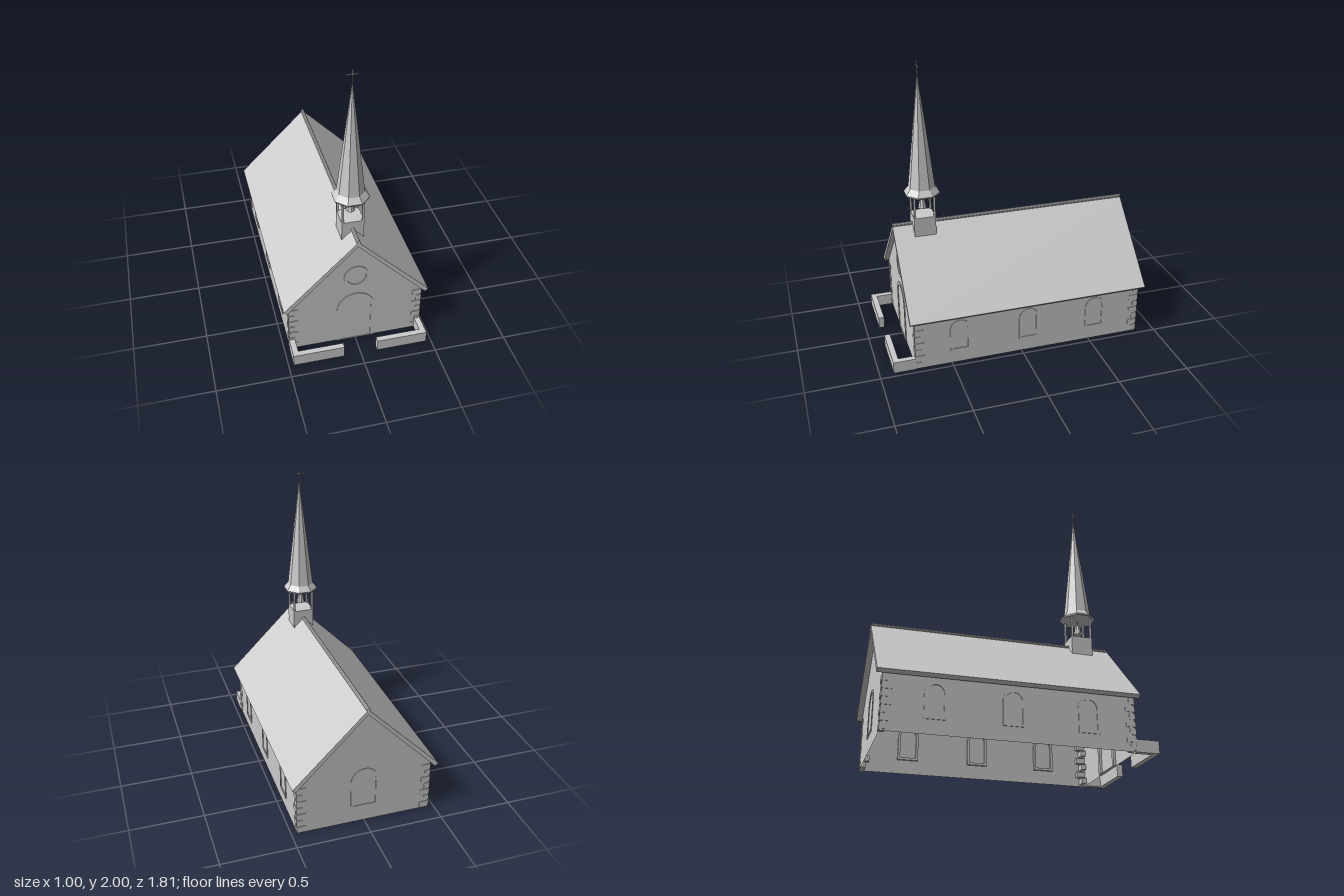
import * as THREE from 'three';

export function createModel() {
  const root = new THREE.Group();
  root.name = 'chapel';
  const stone = new THREE.MeshStandardMaterial({ color: 0xcccccc, side: THREE.DoubleSide, flatShading: true });
  stone.name = 'pale grey stone';

  const add = (name, geo, x = 0, y = 0, z = 0, parent = root) => {
    const m = new THREE.Mesh(geo, stone);
    m.name = name;
    m.position.set(x, y, z);
    parent.add(m);
    return m;
  };
  const box = (name, w, h, d, x, y, z, parent) => add(name, new THREE.BoxGeometry(w, h, d), x, y, z, parent);
  const poly = (pts) => new THREE.Shape(pts.map((p) => new THREE.Vector2(...p)));
  const extrude = (shape, depth) => new THREE.ExtrudeGeometry(shape, { depth, bevelEnabled: false, curveSegments: 12 });

  const W = 0.46, FRONT = 0.75, BACK = -0.865, EAVE = 0.375, PEAK = 0.838;

  // Thin shell walls, open underneath
  const gable = new THREE.ShapeGeometry(poly([[-W, 0], [W, 0], [W, EAVE], [0, PEAK], [-W, EAVE]]));
  add('frontWall', gable, 0, 0, FRONT);
  add('backWall', gable, 0, 0, BACK).rotation.y = Math.PI;
  const midZ = (FRONT + BACK) / 2;
  for (const s of [-1, 1]) {
    const wall = add('sideWall', new THREE.PlaneGeometry(FRONT - BACK, EAVE), s * W, EAVE / 2, midZ);
    wall.rotation.y = s * Math.PI / 2;
  }

  // Roof slabs and ridge cap
  const slab = poly([[0, 0.872], [0.5, 0.372], [0.478, 0.352], [0, 0.838]]);
  for (const s of [-1, 1]) {
    const roof = add('roofSlope', extrude(slab, 1.69), 0, 0, s > 0 ? -0.905 : 0.785);
    if (s < 0) roof.rotation.y = Math.PI;
  }
  add('ridgeCap', new THREE.CylinderGeometry(0.013, 0.013, 1.69, 10), 0, 0.87, -0.06).rotation.x = Math.PI / 2;

  // Arched surrounds set through the walls
  const archPath = (p, r, y0, spring) => {
    p.moveTo(-r, y0);
    p.lineTo(r, y0);
    p.lineTo(r, spring);
    p.absarc(0, spring, r, 0, Math.PI, false);
    p.lineTo(-r, y0);
    return p;
  };
  const archFrame = (r, t, y0, spring, sill) => {
    const s = archPath(new THREE.Shape(), r, y0, spring);
    s.holes.push(archPath(new THREE.Path(), r - t, y0 + sill, spring));
    return extrude(s, 0.022).translate(0, 0, -0.017);
  };
  add('doorFrame', archFrame(0.13, 0.025, 0, 0.28, 0.004), 0, 0, FRONT);
  add('backWindowFrame', archFrame(0.095, 0.018, 0.11, 0.315, 0.018), 0, 0, BACK).rotation.y = Math.PI;
  const sideFrame = archFrame(0.07, 0.016, 0.095, 0.26, 0.016);
  for (const s of [-1, 1]) {
    for (const z of [0.44, -0.05, -0.54]) {
      add('sideWindowFrame', sideFrame, s * W, 0, z).rotation.y = s * Math.PI / 2;
    }
  }
  const ring = new THREE.Shape().absarc(0, 0, 0.085, 0, Math.PI * 2);
  ring.holes.push(new THREE.Path().absarc(0, 0, 0.067, 0, Math.PI * 2));
  add('roundWindowFrame', extrude(ring, 0.022), 0, 0.56, FRONT - 0.017);

  // Alternating corner stones
  for (const sx of [-1, 1]) {
    for (const [z, sz] of [[FRONT, 1], [BACK, -1]]) {
      for (let i = 0; i < 7; i++) {
        const w = i % 2 ? 0.04 : 0.065, d = i % 2 ? 0.065 : 0.04;
        box('cornerStone', w, 0.038, d, sx * (W + 0.004 - w / 2), 0.03 + i * 0.05, z + sz * (0.004 - d / 2));
      }
    }
  }

  // Low forecourt walls
  for (const s of [-1, 1]) {
    box('forecourtFrontWall', 0.35, 0.083, 0.04, s * 0.29, 0.0415, 0.885);
    box('forecourtSideWall', 0.04, 0.083, 0.115, s * 0.445, 0.0415, 0.8075);
  }

  // Bell tower
  const tower = new THREE.Group();
  tower.name = 'bellTower';
  tower.position.z = 0.57;
  root.add(tower);
  const base = poly([[-0.075, 0.785], [0, 0.858], [0.075, 0.785], [0.075, 0.932], [-0.075, 0.932]]);
  add('towerBase', extrude(base, 0.15), 0, 0, -0.075, tower);
  for (const x of [-1, 1]) {
    for (const z of [-1, 1]) box('towerPost', 0.014, 0.155, 0.014, x * 0.068, 1.008, z * 0.068, tower);
  }
  add('bell', new THREE.CylinderGeometry(0.015, 0.031, 0.072, 8), 0, 1.012, 0, tower);
  add('bellHanger', new THREE.CylinderGeometry(0.003, 0.003, 0.04, 6), 0, 1.066, 0, tower);

  // Eight-sided spire with a flared skirt
  const spire = [[0, 1.085], [0.122, 1.085], [0.125, 1.096], [0.093, 1.135], [0.005, 1.89], [0, 1.89]]
    .map((p) => new THREE.Vector2(...p));
  add('spire', new THREE.LatheGeometry(spire, 8, Math.PI / 8), 0, 0, 0, tower);

  // Cross
  box('crossUpright', 0.006, 0.12, 0.006, 0, 1.94, 0, tower);
  box('crossArm', 0.072, 0.006, 0.006, 0, 1.966, 0, tower);

  return root;
}
